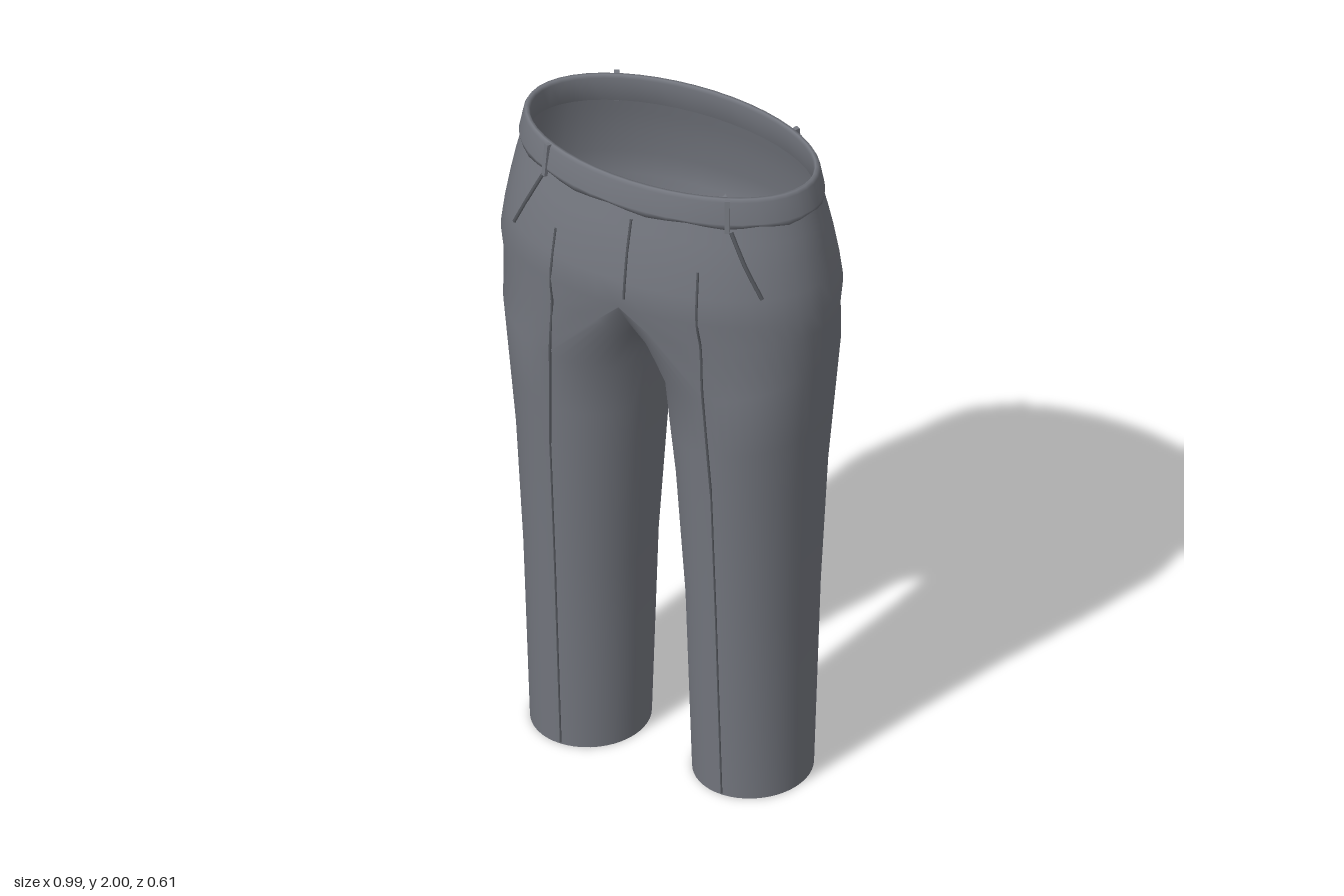
import * as THREE from 'three';
import { mergeGeometries, mergeVertices } from 'three/addons/utils/BufferGeometryUtils.js';

const fabric = new THREE.MeshStandardMaterial({ color: 0x73767e, side: THREE.DoubleSide });
fabric.name = 'grey fabric';
const thread = new THREE.MeshStandardMaterial({ color: 0x55585e });
thread.name = 'dark thread';

const N = 48;
const lerp = THREE.MathUtils.lerp;
const power = (v, e) => Math.sign(v) * Math.pow(Math.abs(v), e);

// Skin a stack of closed rings, listed from top to bottom
function loft(rows, flip = false) {
  const n = rows[0].length, index = [];
  for (let i = 0; i < rows.length - 1; i++) {
    for (let j = 0; j < n; j++) {
      const k = (j + 1) % n;
      const a = i * n + j, b = i * n + k, c = a + n, d = b + n;
      if (flip) index.push(a, c, b, b, c, d);
      else index.push(a, b, c, b, d, c);
    }
  }
  const g = new THREE.BufferGeometry();
  g.setAttribute('position', new THREE.Float32BufferAttribute(rows.flat(2), 3));
  g.setIndex(index);
  return g;
}

function ring(fn) {
  return Array.from({ length: N }, (_, j) => {
    const a = (j / N) * Math.PI * 2;
    let c = Math.cos(a), s = Math.sin(a);
    if (Math.abs(c) < 1e-6) c = 0;
    if (Math.abs(s) < 1e-6) s = 0;
    return fn(c, s, a);
  });
}

const HIP = { y: 1.62, rx: 0.497, rz: 0.305, e: 0.93 };
const CROTCH = 1.38;

// Leg outline by height: y, outer x, inner x, half depth
const LEG = [
  [0, 0.414, 0.088, 0.175],
  [0.6, 0.428, 0.074, 0.207],
  [1.0, 0.447, 0.048, 0.232],
  [1.2, 0.465, 0.026, 0.247],
  [1.42, 0.485, 0.004, 0.263],
];
function legAt(y) {
  let i = 0;
  while (i < LEG.length - 2 && y > LEG[i + 1][0]) i++;
  const t = (y - LEG[i][0]) / (LEG[i + 1][0] - LEG[i][0]);
  return LEG[i].map((v, k) => lerp(v, LEG[i + 1][k], t));
}

// Leg ring whose inner side may sit lower than its outer side
function legRing(outerY, innerY) {
  return ring((c, s) => {
    const y = lerp(innerY, outerY, (c + 1) / 2);
    const [, o, i, rz] = legAt(y);
    return [(o + i) / 2 + ((o - i) / 2) * c, y, rz * s];
  });
}

function legRows() {
  // Top edge: half of the hip ring, closed by the crotch curve
  const top = ring((c, s) => c >= 0
    ? [HIP.rx * power(c, HIP.e), HIP.y, HIP.rz * power(s, HIP.e)]
    : [0, CROTCH + (HIP.y - CROTCH) * s * s, HIP.rz * power(s, HIP.e)]);
  const thigh = legRing(1.42, 1.29);
  const blend = top.map((p, j) => [
    lerp(p[0], thigh[j][0], 0.35),
    lerp(p[1], thigh[j][1], 0.35),
    lerp(p[2], thigh[j][2], 0.7),
  ]);
  return [top, blend, thigh, legRing(1.2, 1.14),
    ...[1, 0.8, 0.6, 0.4, 0.2, 0].map((y) => legRing(y, y))];
}

function bodyGeometry() {
  const hips = [
    [1.925, 0.444, 0.25, 1], [1.86, 0.459, 0.267, 0.98],
    [1.79, 0.472, 0.284, 0.96], [1.7, 0.487, 0.297, 0.94],
    [HIP.y, HIP.rx, HIP.rz, HIP.e],
  ].map(([y, rx, rz, e]) => ring((c, s) => [rx * power(c, e), y, rz * power(s, e)]));
  const leg = legRows();
  const mirrored = leg.map((row) => row.map(([x, y, z]) => [-x, y, z]));
  const g = mergeVertices(mergeGeometries([loft(hips), loft(leg), loft(mirrored, true)]), 1e-4);
  g.computeVertexNormals();
  return g;
}

function waistbandGeometry() {
  // Closed section: up the inside, over the top, down the outside; the lower edge ripples
  const section = [
    [1.915, 0.427, 0.234, 0], [1.99, 0.421, 0.23, 0], [2, 0.426, 0.234, 0],
    [2, 0.434, 0.242, 0], [1.99, 0.44, 0.248, 0], [1.925, 0.453, 0.259, 0],
    [1.912, 0.451, 0.257, 0.005], [1.915, 0.427, 0.234, 0],
  ];
  const g = loft(section.map(([y, rx, rz, w]) =>
    ring((c, s, a) => [rx * c, y + w * Math.sin(a * 12), rz * s])));
  const merged = mergeVertices(g, 1e-4);
  merged.computeVertexNormals();
  return merged;
}

export function createModel() {
  const group = new THREE.Group();
  const add = (name, geometry, material) => {
    const mesh = new THREE.Mesh(geometry, material);
    mesh.name = name;
    group.add(mesh);
    return mesh;
  };

  const body = add('trouserBody', bodyGeometry(), fabric);
  add('waistband', waistbandGeometry(), fabric);

  // Stitched lines laid onto the front of the cloth
  const ray = new THREE.Raycaster();
  const onCloth = (x, y) => {
    ray.set(new THREE.Vector3(x, y, 1), new THREE.Vector3(0, 0, -1));
    const hit = ray.intersectObject(body)[0];
    return new THREE.Vector3(x, y, hit ? hit.point.z : 0.25);
  };
  const seam = (name, from, to, radius, steps) => {
    const points = Array.from({ length: steps + 1 }, (_, i) =>
      onCloth(lerp(from[0], to[0], i / steps), lerp(from[1], to[1], i / steps)));
    add(name, new THREE.TubeGeometry(new THREE.CatmullRomCurve3(points), steps * 2, radius, 6), thread);
  };
  seam('flySeam', [0.015, 1.89], [0.015, 1.65], 0.004, 6);

  for (const [side, label] of [[1, 'left'], [-1, 'right']]) {
    seam(label + 'UpperCrease', [side * 0.22, 1.78], [side * 0.249, 1.04], 0.004, 16);
    seam(label + 'LowerCrease', [side * 0.249, 1.04], [side * 0.249, 0.005], 0.003, 16);
    seam(label + 'PocketSeam', [side * 0.29, 1.9], [side * 0.383, 1.705], 0.006, 6);

    // Belt loops, front and back
    for (const [end, place] of [[1, 'Front'], [-1, 'Back']]) {
      const loop = add(label + place + 'BeltLoop', new THREE.BoxGeometry(0.014, 0.1, 0.014), fabric);
      loop.position.set(side * 0.28, 1.95, end * 0.199);
      loop.rotation.set(-end * 0.1, side * end * 0.43, 0, 'YXZ');
    }
  }
  return group;
}
